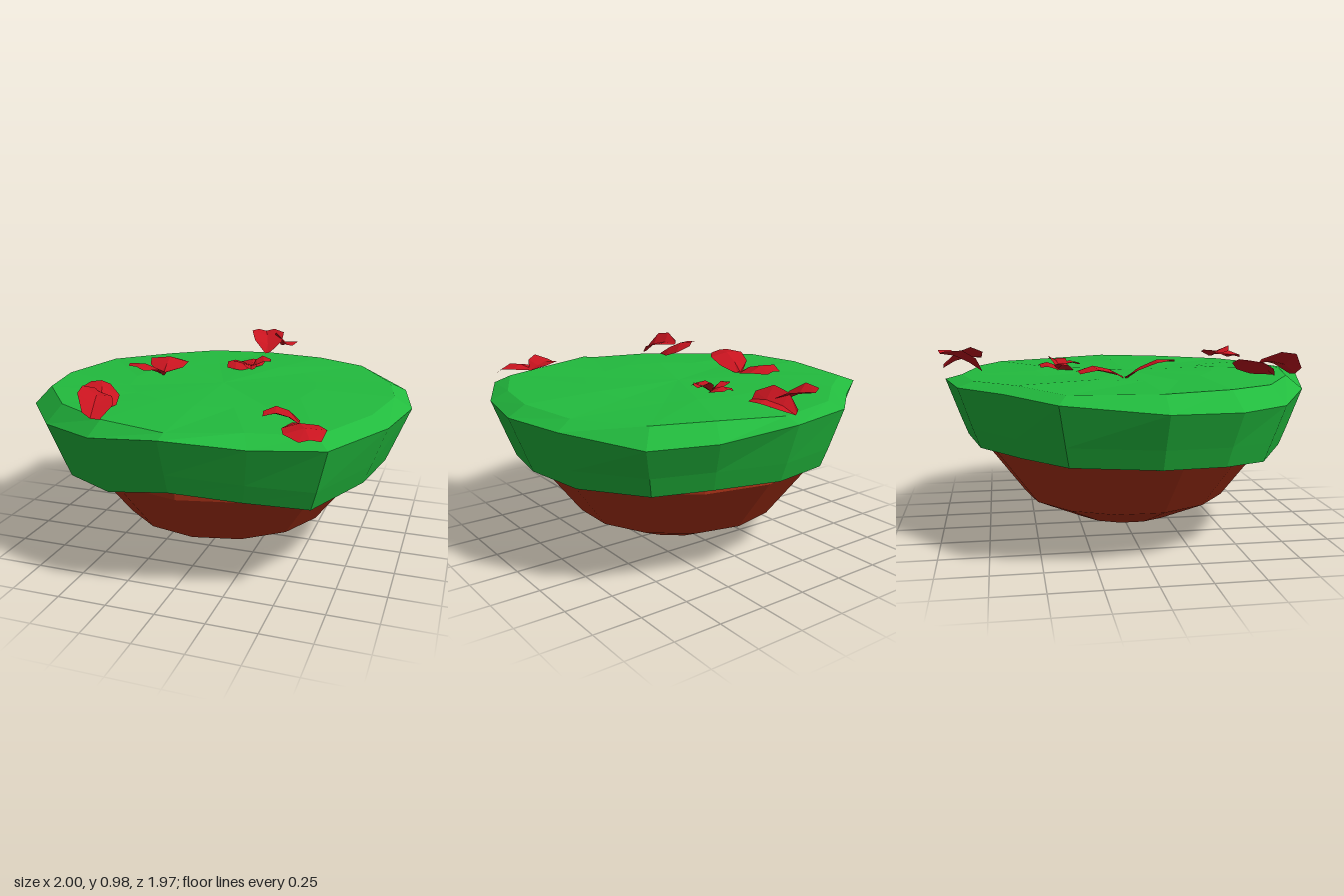
import * as THREE from 'three';

// Flat-shaded mesh from a list of triangle corners
function facetMesh(name, corners, material) {
  const g = new THREE.BufferGeometry().setFromPoints(corners);
  g.computeVertexNormals();
  const m = new THREE.Mesh(g, material);
  m.name = name;
  return m;
}

// Skin rings from bottom to top, closing both ends with a fan
function loft(rings, bottom, top) {
  const out = [], n = rings[0].length, last = rings[rings.length - 1];
  for (let i = 0; i < n; i++) {
    const j = (i + 1) % n;
    out.push(bottom, rings[0][j], rings[0][i]);
    for (let r = 0; r < rings.length - 1; r++) {
      const a = rings[r], b = rings[r + 1];
      out.push(a[i], a[j], b[j], a[i], b[j], b[i]);
    }
    out.push(last[i], last[j], top);
  }
  return out;
}

// Irregular rim, counterclockwise from the front: x, z, rim height, lower edge height
const RIM = [
  [0.03, 0.98, 0.84, 0.555], [0.40, 0.87, 0.80, 0.51], [0.73, 0.77, 0.80, 0.48],
  [0.93, 0.36, 0.80, 0.50], [1.00, -0.01, 0.80, 0.51], [0.93, -0.37, 0.80, 0.50],
  [0.70, -0.73, 0.76, 0.51], [0.40, -0.86, 0.77, 0.52], [0.03, -0.96, 0.82, 0.52],
  [-0.35, -0.88, 0.82, 0.51], [-0.61, -0.66, 0.82, 0.50], [-0.92, -0.43, 0.81, 0.51],
  [-1.00, 0.04, 0.77, 0.50], [-0.93, 0.39, 0.76, 0.49], [-0.70, 0.67, 0.75, 0.46],
  [-0.36, 0.88, 0.78, 0.48],
];

function createGrass(material) {
  const ring = (s, height) => RIM.map(([x, z, hi, lo], i) =>
    new THREE.Vector3(x * s, height(hi, lo, i), z * s));
  const rings = [
    ring(0.76, (hi, lo) => lo - 0.03),
    ring(0.885, (hi, lo) => lo),
    ring(0.925, (hi, lo) => lo + 0.10),
    ring(1, hi => hi),
    ring(0.91, (hi, lo, i) => 0.848 + 0.006 * Math.sin(i * 2.1)),
    ring(0.5, (hi, lo, i) => 0.855 + 0.006 * Math.cos(i * 1.7)),
  ];
  return facetMesh('grassTop',
    loft(rings, new THREE.Vector3(0, 0.5, 0), new THREE.Vector3(0, 0.855, 0)), material);
}

function createBowl(material) {
  const n = 14;
  const ring = (r, y) => Array.from({ length: n }, (_, i) => {
    const a = i / n * Math.PI * 2;
    return new THREE.Vector3(0.02 + r * Math.sin(a), y, r * Math.cos(a));
  });
  const rings = [ring(0.28, 0.065), ring(0.55, 0.19), ring(0.77, 0.48), ring(0.775, 0.53)];
  return facetMesh('earthBowl',
    loft(rings, new THREE.Vector3(0.02, 0, 0), new THREE.Vector3(0.02, 0.53, 0)), material);
}

// Curled leaf between two points: four cross-sections with a folded midrib
function createLeaf([from, to, width, arch, fold, roll], material) {
  const a = new THREE.Vector3(...from), b = new THREE.Vector3(...to);
  const dir = b.clone().sub(a).normalize();
  const side = dir.clone().cross(new THREE.Vector3(0, 1, 0)).normalize().applyAxisAngle(dir, roll);
  const up = side.clone().cross(dir);
  const rows = [[0, 0.15, 0], [0.32, 0.85, 0.8], [0.68, 1, 1], [1, 0.5, 0]].map(([t, w, h]) =>
    [-1, 0, 1].map(u => a.clone().lerp(b, t)
      .addScaledVector(side, u * w * width / 2)
      .addScaledVector(up, h * arch + Math.abs(u) * w * fold + u * 0.008)));
  const out = [];
  for (let r = 0; r < 3; r++) for (let c = 0; c < 2; c++) {
    const p = rows[r][c], q = rows[r][c + 1], s = rows[r + 1][c + 1], t = rows[r + 1][c];
    out.push(p, q, s, p, s, t);
  }
  return facetMesh('leaf', out, material);
}

// from, to, width, arch, fold, roll
const LEAVES = [
  // back edge
  [[0.03, 0.86, -0.77], [-0.04, 0.96, -0.98], 0.20, 0.02, 0.03, 0.15],
  [[0.06, 0.88, -0.97], [0.15, 0.92, -0.77], 0.15, 0.02, 0.03, -0.3],
  // small cluster behind the middle
  [[0.05, 0.86, -0.35], [0.03, 0.89, -0.46], 0.14, 0.02, -0.02, 0.1],
  [[0.05, 0.86, -0.35], [0.16, 0.90, -0.38], 0.10, 0.015, 0.02, 0.3],
  [[0.05, 0.86, -0.36], [-0.08, 0.89, -0.31], 0.10, 0.02, -0.02, -0.2],
  [[0.05, 0.87, -0.36], [0.08, 0.88, -0.24], 0.08, 0.015, 0.01, 0.2],
  // middle right pair
  [[-0.38, 0.865, -0.07], [-0.42, 0.90, -0.30], 0.22, 0.035, -0.02, 0.15],
  [[-0.39, 0.86, 0.05 - 0.11], [-0.43, 0.95, 0.18], 0.20, 0.03, -0.015, 0],
  // front right pair
  [[-0.38, 0.86, 0.71], [-0.47, 0.95, 0.50], 0.19, 0.02, -0.03, 0.35],
  [[-0.43, 0.93, 0.62], [-0.36, 0.86, 0.84], 0.17, 0.03, 0.03, -0.3],
  // front left pair
  [[0.57, 0.87, 0.63], [0.41, 0.90, 0.67], 0.18, 0.02, 0.02, 0.2],
  [[0.56, 0.88, 0.66], [0.66, 0.86, 0.82], 0.20, 0.03, -0.02, 0.1],
];

export function createModel() {
  const paint = (color, side = THREE.FrontSide) =>
    new THREE.MeshStandardMaterial({ color, side, flatShading: true });
  const model = new THREE.Group();
  model.name = 'leafyIsland';
  const leaves = new THREE.Group();
  leaves.name = 'fallenLeaves';
  const red = paint(0xc8141f, THREE.DoubleSide);
  for (const spec of LEAVES) leaves.add(createLeaf(spec, red));
  model.add(createGrass(paint(0x22bb3e)), createBowl(paint(0xb03318)), leaves);
  return model;
}
